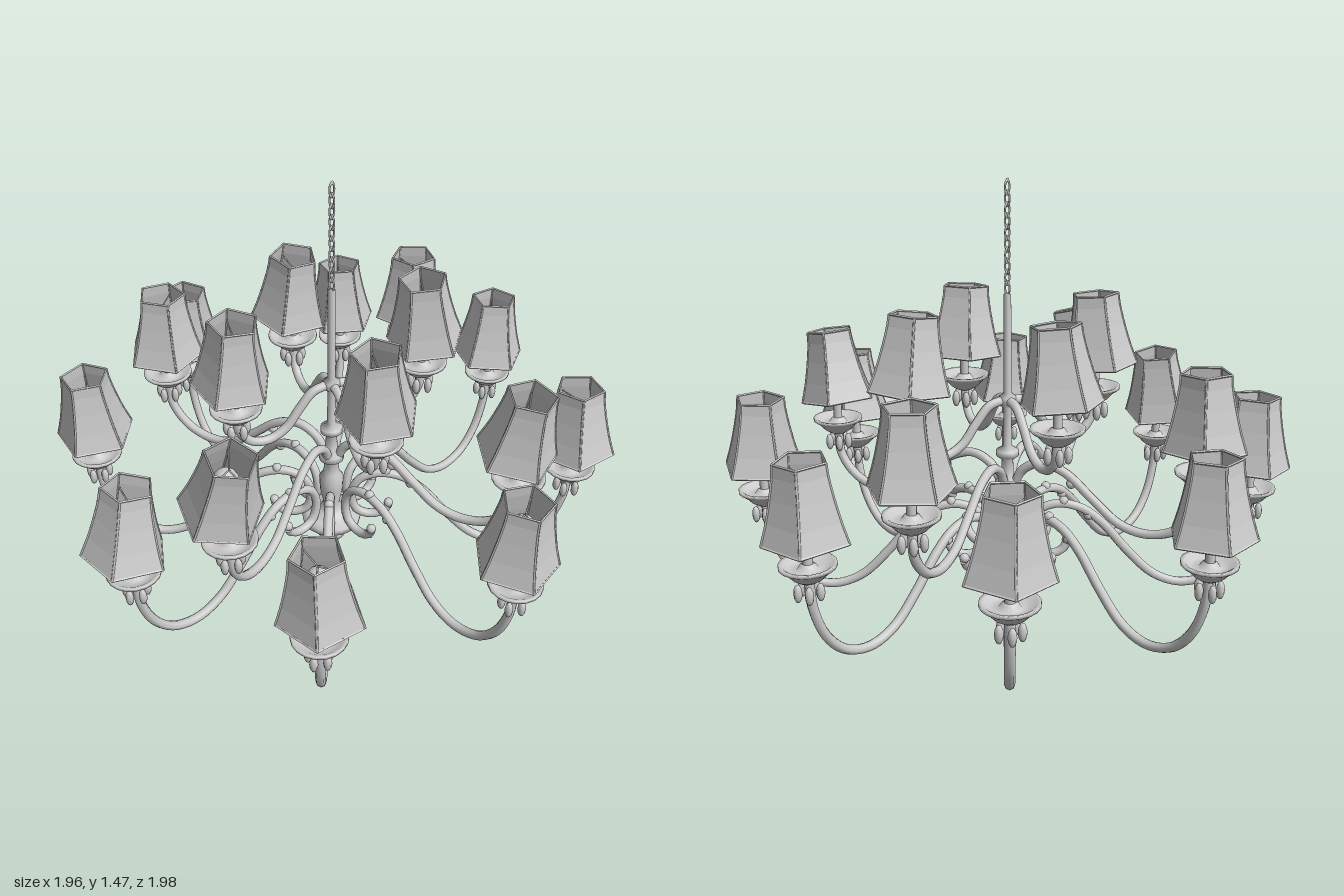
import * as THREE from 'three';

const mat = new THREE.MeshStandardMaterial({ color: 0xcccccc, side: THREE.DoubleSide });
const flat = new THREE.MeshStandardMaterial({ color: 0xcccccc, side: THREE.DoubleSide, flatShading: true });
const rad = THREE.MathUtils.degToRad;

function add(parent, name, geo, material = mat) {
  const m = new THREE.Mesh(geo, material);
  m.name = name;
  parent.add(m);
  return m;
}
const v2 = (pts) => pts.map(([x, y]) => new THREE.Vector2(x, y));
const lathe = (pts, seg = 16) => new THREE.LatheGeometry(v2(pts), seg);
function tube(pts, r, seg = 48, sides = 8) {
  const curve = new THREE.CatmullRomCurve3(pts.map(([x, y]) => new THREE.Vector3(x, y, 0)));
  return new THREE.TubeGeometry(curve, seg, r, sides);
}

// Shade profile: radius, height above the pivot
const SHADE = [[0.14, -0.135], [0.118, -0.065], [0.1, 0.01], [0.087, 0.08], [0.084, 0.12]];

const shadeGeo = new THREE.LatheGeometry(v2(SHADE), 5, Math.PI / 2);
const ribGeo = tube(SHADE, 0.004, 8, 4);
const rimGeo = (r) => new THREE.TorusGeometry(r, 0.004, 4, 5).rotateX(Math.PI / 2);
const bottomRim = rimGeo(0.14), topRim = rimGeo(0.084);
const spokeGeo = new THREE.CylinderGeometry(0.003, 0.003, 0.075, 4).rotateZ(Math.PI / 2).translate(0.04, 0.07, 0);
const cupGeo = lathe([[0.001, -0.035], [0.03, -0.035], [0.05, -0.022], [0.07, 0], [0.09, 0.014], [0.09, 0.024],
  [0.078, 0.022], [0.06, 0.008], [0.035, 0.004], [0.024, 0.02], [0.017, 0.024]], 18);
const candleGeo = new THREE.CylinderGeometry(0.016, 0.016, 0.2, 10).translate(0, 0.11, 0);
const bulbGeo = new THREE.SphereGeometry(0.043, 12, 8).scale(1, 1.15, 1);
const dropGeo = new THREE.SphereGeometry(0.014, 8, 6).scale(1, 2.2, 1);
const beadGeo = new THREE.SphereGeometry(0.018, 8, 6);

// Pentagonal shade: spin in degrees, lean = sideways shift of the top per unit height
function makeShade(spin, leanX, leanZ) {
  const tilt = new THREE.Group();
  tilt.name = 'shade';
  tilt.rotation.set(Math.atan(leanZ), 0, -Math.atan(leanX));
  const s = new THREE.Group();
  s.name = 'shadeFrame';
  s.rotation.y = -rad(spin);
  tilt.add(s);
  add(s, 'shadePanels', shadeGeo, flat);
  add(s, 'bottomRim', bottomRim, flat).position.y = -0.135;
  add(s, 'topRim', topRim, flat).position.y = 0.12;
  for (let i = 0; i < 5; i++) {
    add(s, 'shadeRib', ribGeo).rotation.y = i * Math.PI * 0.4;
    if (i < 3) add(s, 'shadeSpoke', spokeGeo).rotation.y = i * Math.PI * 0.8;
  }
  return tilt;
}

// One light: cup, drops, candle, bulb and shade
function makeLamp(spin, leanX, leanZ) {
  const g = new THREE.Group();
  g.name = 'lamp';
  add(g, 'cup', cupGeo);
  add(g, 'candle', candleGeo);
  add(g, 'bulb', bulbGeo).position.y = 0.245;
  for (let i = 0; i < 5; i++) {
    const a = i * Math.PI * 0.4;
    add(g, 'drop', dropGeo).position.set(Math.cos(a) * 0.036, -0.07, Math.sin(a) * 0.036);
  }
  const shade = makeShade(spin, leanX, leanZ);
  shade.position.y = 0.235;
  g.add(shade);
  return g;
}

// Three tiers; lamps are listed by growing angle as [spin, leanX, leanZ]
const TIERS = [
  {
    name: 'lower', radius: 0.86, y: 0.37, start: 1,
    arm: [[0.86, 0.345], [0.85, 0.24], [0.805, 0.125], [0.73, 0.048], [0.63, 0.022], [0.53, 0.055], [0.43, 0.15],
      [0.34, 0.255], [0.26, 0.315], [0.17, 0.33], [0.1, 0.295], [0.075, 0.22], [0.095, 0.155], [0.15, 0.135],
      [0.2, 0.155], [0.213, 0.18]],
    beads: [[0.29, 0.285], [0.2, 0.34], [0.213, 0.19]],
    lamps: [[27, 0.08, 0], [-24, 0, 0.06], [-20, 0, -0.15], [-7, 0, 0.06], [-2, 0.03, 0.03], [2, -0.04, 0],
      [10, 0, -0.04], [-27, -0.04, 0]],
  },
  {
    name: 'middle', radius: 0.695, y: 0.54, start: -19.5,
    arm: [[0.695, 0.515], [0.685, 0.42], [0.62, 0.34], [0.52, 0.306], [0.42, 0.325], [0.32, 0.4], [0.22, 0.48],
      [0.13, 0.505], [0.06, 0.47], [0.02, 0.4]],
    beads: [[0.24, 0.445]],
    lamps: [[20, 0.16, 0], [2, 0.28, 0], [20, 0.03, 0], [-26, 0, 0]],
  },
  {
    name: 'upper', radius: 0.353, y: 0.7, start: 19.5,
    arm: [[0.353, 0.675], [0.345, 0.62], [0.305, 0.565], [0.24, 0.55], [0.175, 0.58], [0.12, 0.65], [0.07, 0.705],
      [0.01, 0.72]],
    beads: [],
    lamps: [[-3, 0.04, 0.1], [-10, 0.09, 0], [-20, 0.12, 0], [4, 0, 0.12]],
  },
];

function makeTier(t) {
  const g = new THREE.Group();
  g.name = t.name + 'Tier';
  const armGeo = tube(t.arm, 0.0165, 56, 8);
  t.lamps.forEach((l, i) => {
    const a = rad(t.start) + (i * 2 * Math.PI) / t.lamps.length;
    const arm = new THREE.Group();
    arm.name = t.name + 'Arm';
    arm.rotation.y = -a;
    add(arm, 'armTube', armGeo);
    t.beads.forEach(([x, y]) => add(arm, 'armBead', beadGeo).position.set(x, y, 0));
    const lamp = makeLamp(...l);
    lamp.position.set(Math.cos(a) * t.radius, t.y, Math.sin(a) * t.radius);
    g.add(arm, lamp);
  });
  return g;
}

export function createModel() {
  const model = new THREE.Group();
  model.name = 'chandelier';
  const body = new THREE.Group();
  body.name = 'body';
  body.position.set(0.007, 0, -0.025);
  model.add(body);

  // Turned hub and centre column
  add(body, 'column', lathe([[0.001, 0.005], [0.03, 0.008], [0.035, 0.025], [0.05, 0.035], [0.052, 0.055], [0.04, 0.07],
    [0.075, 0.085], [0.108, 0.11], [0.112, 0.135], [0.09, 0.145], [0.045, 0.155], [0.03, 0.19], [0.042, 0.25],
    [0.045, 0.31], [0.03, 0.33], [0.025, 0.38], [0.045, 0.395], [0.045, 0.42], [0.022, 0.44], [0.02, 0.5],
    [0.04, 0.515], [0.04, 0.535], [0.016, 0.55], [0.014, 0.69], [0.03, 0.705], [0.03, 0.73], [0.014, 0.745],
    [0.013, 1.09], [0.001, 1.095]]));

  // Hanging chain
  const linkGeo = new THREE.TorusGeometry(0.011, 0.0035, 5, 10).scale(1, 2.1, 1);
  for (let i = 0; i < 10; i++) {
    const link = add(body, 'chainLink', linkGeo);
    link.position.y = 1.11 + i * 0.0375;
    link.rotation.y = (i % 2) * Math.PI / 2;
  }

  TIERS.forEach((t) => body.add(makeTier(t)));
  return model;
}
